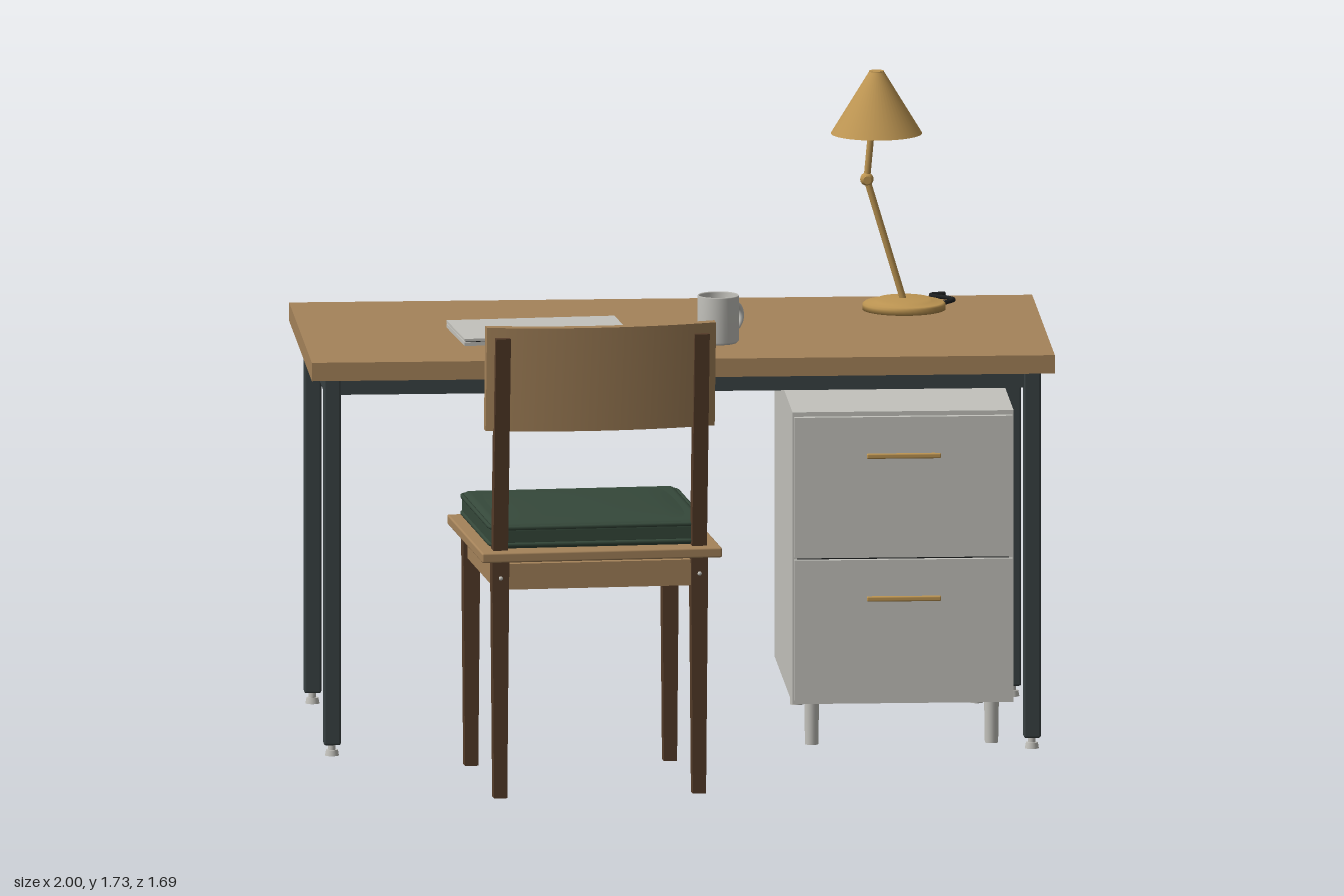
import * as THREE from 'three';
import { RoundedBoxGeometry } from 'three/addons/geometries/RoundedBoxGeometry.js';

const mat = (name, color, side = THREE.FrontSide) => {
  const m = new THREE.MeshStandardMaterial({ color, side });
  m.name = name;
  return m;
};

export function createModel() {
  const wood = mat('oak', 0xa5835a);
  const darkWood = mat('walnut', 0x553c29);
  const steel = mat('dark steel', 0x394243);
  const white = mat('light grey', 0xc3c2bc);
  const brass = mat('brass', 0xbd9552, THREE.DoubleSide);
  const green = mat('green fabric', 0x35483a);
  const black = mat('black rubber', 0x1d1f20);

  const add = (parent, name, geo, material, x = 0, y = 0, z = 0) => {
    const m = new THREE.Mesh(geo, material);
    m.name = name;
    m.position.set(x, y, z);
    parent.add(m);
    return m;
  };
  const group = (parent, name, x = 0, y = 0, z = 0, turn = 0) => {
    const g = new THREE.Group();
    g.name = name;
    g.position.set(x, y, z);
    g.rotation.y = turn;
    parent.add(g);
    return g;
  };
  const box = (w, h, d) => new THREE.BoxGeometry(w, h, d);
  const rbox = (w, h, d, r, s = 2) => new RoundedBoxGeometry(w, h, d, s, r);
  const cyl = (rt, rb, h, n = 24, open = false) => new THREE.CylinderGeometry(rt, rb, h, n, 1, open);
  const lathe = (pts, n = 40) => new THREE.LatheGeometry(pts.map(p => new THREE.Vector2(...p)), n);
  const rod = (a, b, r) => new THREE.TubeGeometry(
    new THREE.LineCurve3(new THREE.Vector3(...a), new THREE.Vector3(...b)), 1, r, 12);
  // Move every vertex by a rule, then refresh the normals
  const warp = (geo, rule) => {
    const p = geo.attributes.position, v = new THREE.Vector3();
    for (let i = 0; i < p.count; i++) {
      rule(v.fromBufferAttribute(p, i));
      p.setXYZ(i, v.x, v.y, v.z);
    }
    geo.computeVertexNormals();
    return geo;
  };

  const model = new THREE.Group();
  model.name = 'workstation';

  // Desk
  const desk = group(model, 'desk');
  add(desk, 'deskTop', box(2, 0.05, 0.975), wood, 0, 1.055, -0.3575);
  for (const x of [-0.942, 0.942]) {
    for (const z of [0.068, -0.772]) {
      add(desk, 'deskLeg', rbox(0.046, 1.0, 0.046, 0.006), steel, x, 0.53, z);
      add(desk, 'levellerStem', cyl(0.01, 0.01, 0.02, 16), white, x, 0.024, z);
      add(desk, 'levellerFoot', cyl(0.016, 0.019, 0.016, 20), white, x, 0.008, z);
    }
    add(desk, 'sideRail', box(0.04, 0.045, 0.8), steel, x, 1.0075, -0.352);
  }
  for (const z of [0.068, -0.772]) add(desk, 'longRail', box(1.85, 0.045, 0.04), steel, 0, 1.0075, z);

  // Drawer cabinet
  const cabinet = group(model, 'cabinet', 0.5975, 0, 0);
  add(cabinet, 'cabinetBody', box(0.595, 0.795, 0.768), white, 0, 0.5175, -0.351);
  add(cabinet, 'shadowGap', box(0.57, 0.76, 0.006), black, 0, 0.5175, 0.034);
  for (const y of [0.323, 0.712]) {
    add(cabinet, 'drawerFront', box(0.587, 0.383, 0.018), white, 0, y, 0.046);
    add(cabinet, 'handle', rbox(0.2, 0.014, 0.012, 0.004), brass, 0, y + 0.088, 0.072);
    for (const s of [-1, 1]) add(cabinet, 'handlePost', box(0.01, 0.01, 0.016), brass, s * 0.08, y + 0.088, 0.062);
  }
  for (const x of [-0.242, 0.242])
    for (const z of [-0.032, -0.675])
      add(cabinet, 'cabinetFoot', cyl(0.02, 0.018, 0.12), white, x, 0.06, z);

  // Chair, turned slightly and facing the desk
  const chair = group(model, 'chair', -0.288, 0, 0.487, 0.085);
  const lean = 0.09;
  add(chair, 'seatPanel', rbox(0.652, 0.027, 0.642, 0.005), wood, 0, 0.6615, 0);
  for (const x of [-0.27, 0.27]) {
    for (const z of [-0.266, 0.263]) {
      const leg = warp(box(0.046, 0.65, 0.046), v => {
        const k = 0.78 + 0.22 * Math.min(1, (v.y + 0.325) / 0.65);
        v.x *= k;
        v.z *= k;
      });
      add(chair, 'chairLeg', leg, darkWood, x, 0.325, z);
      add(chair, 'screw', new THREE.SphereGeometry(0.006, 10, 8), white, x, 0.6, z + Math.sign(z) * 0.022);
    }
    const post = warp(box(0.04, 0.61, 0.04), v => { v.z += lean * v.y; });
    add(chair, 'backPost', post, darkWood, x, 0.955, 0.288);
    add(chair, 'sideApron', box(0.024, 0.07, 0.5), wood, x, 0.602, 0);
  }
  for (const z of [-0.266, 0.263]) add(chair, 'crossApron', box(0.5, 0.07, 0.024), wood, 0, 0.602, z);

  // Curved, leaning backrest
  const backrest = warp(new THREE.BoxGeometry(0.622, 0.285, 0.034, 24, 1, 1), v => {
    v.z += 0.042 * (1 - (v.x / 0.311) ** 2) + lean * v.y;
  });
  add(chair, 'backrest', backrest, wood, 0, 1.145, 0.279);

  // Cushion with a gentle crown and piped edges
  const w = 0.292, d = 0.28, r = 0.03;
  const outline = new THREE.Shape();
  outline.moveTo(-w + r, -d);
  for (const [cx, cy, a] of [[w - r, -d + r, -0.5], [w - r, d - r, 0], [-w + r, d - r, 0.5], [-w + r, -d + r, 1]])
    outline.absarc(cx, cy, r, a * Math.PI, (a + 0.5) * Math.PI, false);
  add(chair, 'cushion', rbox(2 * w, 0.072, 2 * d, 0.022, 4), green, 0, 0.708, -0.02);
  const crown = warp(new THREE.BoxGeometry(0.54, 0.01, 0.515, 14, 1, 14), v => {
    if (v.y > 0) v.y = -0.003 + 0.014 * Math.sqrt(Math.max(0, (1 - (v.x / 0.27) ** 2) * (1 - (v.z / 0.2575) ** 2)));
  });
  add(chair, 'cushionCrown', crown, green, 0, 0.744, -0.02);
  const loop = new THREE.CatmullRomCurve3(
    outline.getSpacedPoints(80).slice(0, -1).map(p => new THREE.Vector3(p.x, 0, p.y)), true);
  for (const y of [0.686, 0.732])
    add(chair, 'piping', new THREE.TubeGeometry(loop, 120, 0.006, 8, true), green, 0, y, -0.02);

  // Lamp
  const lamp = group(model, 'lamp', 0.642, 1.08, -0.637);
  add(lamp, 'lampBase', lathe([[0, 0], [0.112, 0], [0.112, 0.015], [0.106, 0.02], [0.075, 0.022],
    [0.07, 0.03], [0, 0.031]]), brass);
  add(lamp, 'lowerArm', rod([0, 0.02, 0], [-0.1, 0.355, 0], 0.009), brass);
  add(lamp, 'joint', new THREE.SphereGeometry(0.018, 20, 14), brass, -0.1, 0.355, 0);
  const pin = add(lamp, 'jointPin', cyl(0.011, 0.011, 0.046, 16), brass, -0.1, 0.355, 0);
  pin.rotation.x = Math.PI / 2;
  add(lamp, 'upperArm', rod([-0.1, 0.355, 0], [-0.074, 0.635, 0], 0.009), brass);
  add(lamp, 'shade', cyl(0.02, 0.123, 0.168, 48, true), brass, -0.074, 0.564, 0);
  add(lamp, 'shadeCap', cyl(0.02, 0.02, 0.006), brass, -0.074, 0.647, 0);
  const cordPath = new THREE.CatmullRomCurve3(
    [[0.735, -0.675], [0.765, -0.71], [0.782, -0.745], [0.765, -0.78], [0.73, -0.805], [0.728, -0.828], [0.765, -0.842]]
      .map(([x, z]) => new THREE.Vector3(x, 1.086, z)));
  add(model, 'cord', new THREE.TubeGeometry(cordPath, 60, 0.006, 8), black);

  // Mug
  const mug = group(model, 'mug', 0.11, 1.08, -0.132, 0.75);
  add(mug, 'mugBody', lathe([[0, 0], [0.05, 0], [0.056, 0.007], [0.056, 0.127], [0.054, 0.13],
    [0.05, 0.127], [0.05, 0.012], [0, 0.012]]), white);
  add(mug, 'mugHandle', new THREE.TorusGeometry(0.037, 0.008, 12, 28, Math.PI), white, 0.053, 0.064, 0)
    .rotation.z = -Math.PI / 2;

  // Closed laptop
  const laptop = group(model, 'laptop', -0.361, 1.08, -0.29, 0.099);
  add(laptop, 'laptopBase', box(0.457, 0.01, 0.307), white, 0, 0.005, 0);
  add(laptop, 'laptopGap', box(0.45, 0.003, 0.3), black, 0, 0.0112, 0);
  add(laptop, 'laptopLid', box(0.457, 0.007, 0.307), white, 0, 0.0158, 0);

  return model;
}
